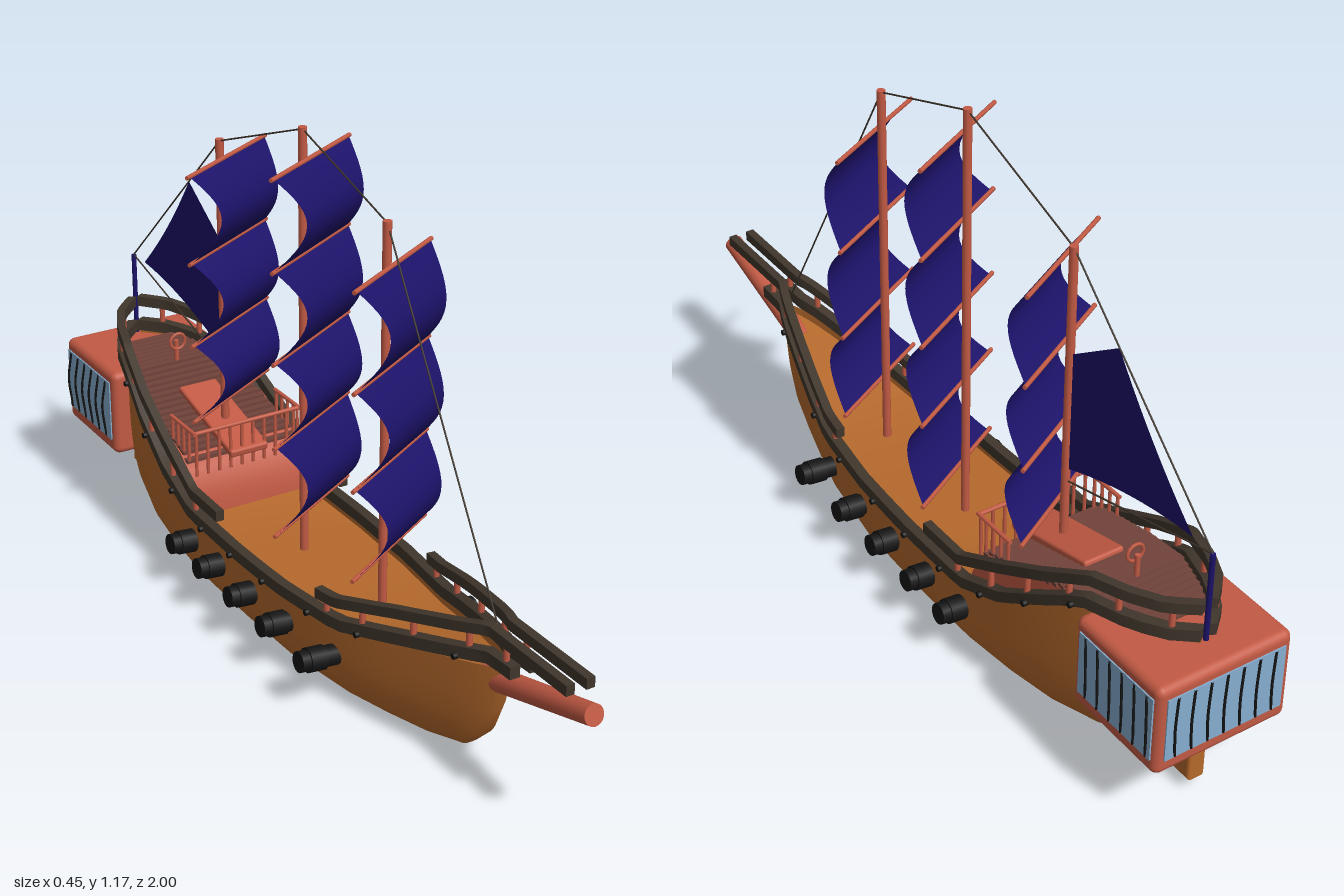
import * as THREE from 'three';
import { toCreasedNormals } from 'three/addons/utils/BufferGeometryUtils.js';
import { RoundedBoxGeometry } from 'three/addons/geometries/RoundedBoxGeometry.js';

const mat = (color) => new THREE.MeshStandardMaterial({ color, side: THREE.DoubleSide });
const V = (x, y, z) => new THREE.Vector3(x, y, z);

// Hull stations: z, half width, keel height, sheer height, roundness exponent
const STATIONS = [
  [0.715, 0.008, 0.25, 0.285, 1], [0.69, 0.024, 0.17, 0.28, 0.8], [0.65, 0.04, 0.09, 0.272, 0.7],
  [0.6, 0.056, 0.04, 0.262, 0.65], [0.5, 0.084, 0.015, 0.24, 0.6], [0.4, 0.11, 0.005, 0.215, 0.55],
  [0.29, 0.135, 0, 0.19, 0.5], [0.1, 0.158, 0, 0.185, 0.4], [-0.1, 0.165, 0, 0.185, 0.4],
  [-0.32, 0.163, 0, 0.185, 0.4], [-0.46, 0.158, 0, 0.24, 0.45], [-0.58, 0.15, 0.005, 0.31, 0.5],
  [-0.7, 0.13, 0.02, 0.385, 0.6], [-0.8, 0.1, 0.07, 0.395, 0.7], [-0.87, 0.065, 0.15, 0.4, 0.8],
  [-0.92, 0.01, 0.24, 0.4, 1],
];

// Linear lookup in a table whose first column is a falling z
function lookup(table, z, col) {
  let i = 0;
  while (i < table.length - 2 && z < table[i + 1][0]) i++;
  const a = table[i], b = table[i + 1];
  const t = THREE.MathUtils.clamp((a[0] - z) / (a[0] - b[0]), 0, 1);
  return a[col] + (b[col] - a[col]) * t;
}
const halfWidth = (z) => (z > 0.69 ? 0.024 : lookup(STATIONS, z, 1));

// Surface through rows of points
function loft(rows) {
  const n = rows[0].length, pos = [], idx = [];
  rows.forEach((r) => r.forEach((p) => pos.push(p.x, p.y, p.z)));
  for (let i = 0; i < rows.length - 1; i++)
    for (let j = 0; j < n - 1; j++) {
      const a = i * n + j, b = a + n;
      idx.push(a, b, a + 1, a + 1, b, b + 1);
    }
  const g = new THREE.BufferGeometry();
  g.setAttribute('position', new THREE.Float32BufferAttribute(pos, 3));
  g.setIndex(idx);
  g.computeVertexNormals();
  return g;
}

export function createModel() {
  const ship = new THREE.Group();
  ship.name = 'sailingShip';
  const wood = mat(0xb5692c), red = mat(0xc25a44), dark = mat(0x40362c), black = mat(0x141414);
  const blue = mat(0x1c1269), glass = mat(0x86aed0), plank = mat(0x70433a);

  const add = (name, geo, m, parent = ship) => {
    const mesh = new THREE.Mesh(geo, m);
    mesh.name = name;
    parent.add(mesh);
    return mesh;
  };
  // Cylinder between two points
  const rod = (name, a, b, r, m, r2 = r, sides = 10) => {
    const d = b.clone().sub(a);
    const mesh = add(name, new THREE.CylinderGeometry(r2, r, d.length(), sides), m);
    mesh.position.copy(a).add(b).multiplyScalar(0.5);
    mesh.quaternion.setFromUnitVectors(V(0, 1, 0), d.normalize());
    return mesh;
  };
  const box = (name, w, h, d, x, y, z, m) => add(name, new THREE.BoxGeometry(w, h, d), m).position.set(x, y, z);

  // Hull and main deck
  const N = 28;
  add('hull', loft(STATIONS.map(([z, w, keel, top, e]) => Array.from({ length: N + 1 }, (_, j) => {
    const a = (j / N - 0.5) * Math.PI, s = Math.sin(a), c = Math.max(0, Math.cos(a));
    return V(w * Math.sign(s) * Math.abs(s) ** e, keel + (top - keel) * (1 - c ** e), z);
  }))), wood);
  add('mainDeck', loft(STATIONS.map(([z, w, , top]) => [V(-w * 0.97, top - 0.02, z), V(w * 0.97, top - 0.02, z)])), wood);

  // Rudder
  const rudder = new THREE.Shape([[0.7, 0.02], [0.8, 0.035], [0.92, 0.035], [0.92, 0.15], [0.88, 0.2], [0.75, 0.2]]
    .map((p) => new THREE.Vector2(...p)));
  const rudderGeo = new THREE.ExtrudeGeometry(rudder, { depth: 0.03, bevelSize: 0.006, bevelThickness: 0.006, bevelSegments: 2 });
  rudderGeo.translate(0, 0, -0.015).rotateY(Math.PI / 2);
  add('rudder', rudderGeo, wood);

  // Raised aft deck with a curved front wall, planks and a central ramp
  const AFT = [[-0.33, 0.17], [-0.335, 0.22], [-0.36, 0.28], [-0.4, 0.308], [-0.5, 0.335], [-0.7, 0.392], [-0.86, 0.396]];
  add('aftDeck', toCreasedNormals(loft(AFT.map(([z, y]) => {
    const w = halfWidth(z) - 0.012;
    return [V(-w, 0.15, z), V(-w, y, z), V(w, y, z), V(w, 0.15, z)];
  })), 0.7), red);
  for (let z = -0.38; z > -0.86; z -= 0.02)
    box('aftPlank', 2 * halfWidth(z) - 0.03, 0.008, 0.018, 0, lookup(AFT, z, 1) + 0.002, z, plank);
  const ramp = add('ramp', new RoundedBoxGeometry(0.1, 0.02, 0.27, 2, 0.006), red);
  ramp.position.set(0, 0.338, -0.465);
  ramp.rotation.x = 0.24;

  // Small balustrade at the front of the aft deck
  for (let x = -0.135; x < 0.14; x += 0.03) rod('balusterFront', V(x, 0.27, -0.345), V(x, 0.38, -0.345), 0.004, red, 0.004, 6);
  rod('balustradeFront', V(-0.14, 0.38, -0.345), V(0.14, 0.38, -0.345), 0.005, red);
  for (const s of [-1, 1]) {
    rod('balustradeSide', V(s * 0.14, 0.38, -0.34), V(s * 0.14, 0.38, -0.46), 0.005, red);
    for (let i = 1; i < 5; i++)
      rod('balusterSide', V(s * 0.14, 0.3, -0.345 - i * 0.027), V(s * 0.14, 0.38, -0.345 - i * 0.027), 0.004, red, 0.004, 6);
  }

  // Steering post and wheel
  rod('wheelPost', V(0, 0.38, -0.7), V(0, 0.45, -0.7), 0.006, red);
  add('wheel', new THREE.TorusGeometry(0.02, 0.004, 6, 16), red).position.set(0, 0.45, -0.692);

  // Rails: rectangular section swept along the hull edge
  const rail = (name, path, s, w, h) => {
    const zs = Array.from({ length: 41 }, (_, i) => path[0][0] + (path[path.length - 1][0] - path[0][0]) * (i / 40));
    const at = (z) => V(s * halfWidth(z), lookup(path, z, 1), z);
    const rows = zs.map((z) => {
      const t = at(z - 0.008).sub(at(z + 0.008)).setY(0).normalize(), p = at(z);
      const side = V(t.z, 0, -t.x).multiplyScalar(w / 2), up = V(0, h / 2, 0);
      return [[1, 1], [1, -1], [-1, -1], [-1, 1], [1, 1]].map(([a, b]) => p.clone().addScaledVector(side, a).addScaledVector(up, b));
    });
    const end = (r) => r.map(() => r[0].clone().add(r[2]).multiplyScalar(0.5));
    add(name, toCreasedNormals(loft([end(rows[0]), ...rows, end(rows[40])]), 0.6), dark);
  };
  const LOWER = [[0.77, 0.31], [0.68, 0.305], [0.5, 0.26], [0.29, 0.205], [0, 0.197], [-0.32, 0.197], [-0.46, 0.25], [-0.58, 0.325], [-0.7, 0.398], [-0.92, 0.41]];
  const BOW = [[0.945, 0.368], [0.68, 0.365], [0.45, 0.305], [0.28, 0.255], [0.22, 0.25]];
  const STERN = [[-0.18, 0.25], [-0.31, 0.25], [-0.46, 0.325], [-0.715, 0.457], [-0.92, 0.475]];
  for (const s of [-1, 1]) {
    rail('lowerRail', LOWER, s, 0.024, 0.028);
    rail('bowRail', BOW, s, 0.02, 0.024);
    rail('sternRail', STERN, s, 0.02, 0.026);
    for (const [path, zs] of [[BOW, [0.74, 0.64, 0.5, 0.36, 0.25]], [STERN, [-0.3, -0.42, -0.54, -0.66, -0.78, -0.88]]])
      for (const z of zs)
        rod('railPost', V(s * halfWidth(z), lookup(LOWER, z, 1), z), V(s * halfWidth(z), lookup(path, z, 1), z), 0.007, red, 0.007, 8);

    // Row of guns and studs along the rail
    for (const z of [0.274, 0.108, -0.038, -0.185, -0.317]) {
      rod('gun', V(s * 0.12, 0.118, z), V(s * 0.225, 0.128, z), 0.024, black, 0.024, 16);
      rod('gunBand', V(s * 0.165, 0.122, z), V(s * 0.205, 0.126, z), 0.028, black, 0.028, 16);
    }
    for (const z of [0.62, 0.36, 0.2, 0.03, -0.11, -0.25, -0.4, -0.55, -0.68])
      rod('stud', V(s * halfWidth(z), lookup(LOWER, z, 1) - 0.01, z), V(s * (halfWidth(z) + 0.02), lookup(LOWER, z, 1) - 0.01, z), 0.007, black, 0.007, 8);
  }

  // Bowsprit
  rod('bowsprit', V(0, 0.225, 0.64), V(0, 0.33, 0.99), 0.026, red, 0.023, 16);

  // Stern cabin with windows and curved bars
  add('sternCabin', new RoundedBoxGeometry(0.33, 0.22, 0.27, 3, 0.018), red).position.set(0, 0.275, -0.855);
  const bar = (a, b, out) => add('windowBar',
    new THREE.TubeGeometry(new THREE.CatmullRomCurve3([a, a.clone().lerp(b, 0.5).add(out), b]), 8, 0.003, 5), black);
  for (const s of [-1, 1]) {
    box('sideWindow', 0.006, 0.155, 0.235, s * 0.165, 0.28, -0.857, glass);
    for (let i = 0; i < 6; i++) {
      const z = -0.76 - i * 0.039;
      bar(V(s * 0.168, 0.355, z), V(s * 0.168, 0.205, z - 0.006), V(s * 0.006, 0, -0.008));
    }
  }
  box('backWindow', 0.29, 0.155, 0.006, 0, 0.28, -0.99, glass);
  for (let i = 0; i < 7; i++) {
    const x = -0.12 + i * 0.04;
    bar(V(x, 0.355, -0.993), V(x, 0.205, -0.993), V(0.008, 0, -0.005));
  }

  // Square sails: bellied sheets between yards, braced round at an angle
  const along = V(0.87, 0, -0.5), normal = V(0.5, 0, 0.87);
  const sail = (c, y0, y1, half) => loft(Array.from({ length: 15 }, (_, i) => {
    const b = Math.sin((i / 14) * Math.PI);
    return Array.from({ length: 9 }, (_, j) => V(c.x, y0 + (y1 - y0) * (i / 14), c.z)
      .addScaledVector(along, (half - 0.037 * b) * (j / 4 - 1)).addScaledVector(normal, 0.058 * b));
  }));
  const masts = [
    { z: 0.25, foot: 0.17, top: 1.075, sx: 0.015, sz: 0.255, yards: [0.98, 0.76, 0.54, 0.33] },
    { z: -0.083, foot: 0.16, top: 1.175, sx: 0.015, sz: -0.07, yards: [1.11, 0.905, 0.695, 0.495, 0.28] },
    { z: -0.453, foot: 0.3, top: 1.04, sx: 0.008, sz: -0.43, yards: [1.005, 0.8, 0.6, 0.41] },
  ];
  for (const m of masts) {
    rod('mast', V(0, m.foot, m.z), V(0, m.top, m.z), 0.01, red);
    m.yards.forEach((y, i) => {
      const c = V(m.sx, y, m.sz);
      rod('yard', c.clone().addScaledVector(along, -0.17), c.clone().addScaledVector(along, 0.165), 0.005, red, 0.005, 8);
      if (i) add('squareSail', sail(c, m.yards[i - 1], y, 0.16), blue);
    });
  }

  // Fore-and-aft sail behind the last mast
  const aft = new THREE.Shape();
  aft.moveTo(0.455, 0.79);
  aft.lineTo(0.608, 0.89);
  aft.quadraticCurveTo(0.72, 0.73, 0.86, 0.6);
  aft.quadraticCurveTo(0.66, 0.59, 0.455, 0.51);
  add('aftSail', new THREE.ShapeGeometry(aft, 10).rotateY(Math.PI / 2), blue);

  // Stern pole and rigging
  rod('sternPole', V(0, 0.39, -0.92), V(0, 0.6, -0.92), 0.006, blue);
  const stays = [[0.3, 0.71], [1.07, 0.25], [1.17, -0.083], [1.035, -0.453], [0.6, -0.92], [0.48, -0.455]];
  for (let i = 1; i < stays.length; i++)
    rod('stay', V(0, ...stays[i - 1]), V(0, ...stays[i]), 0.002, dark, 0.002, 5);
  return ship;
}
